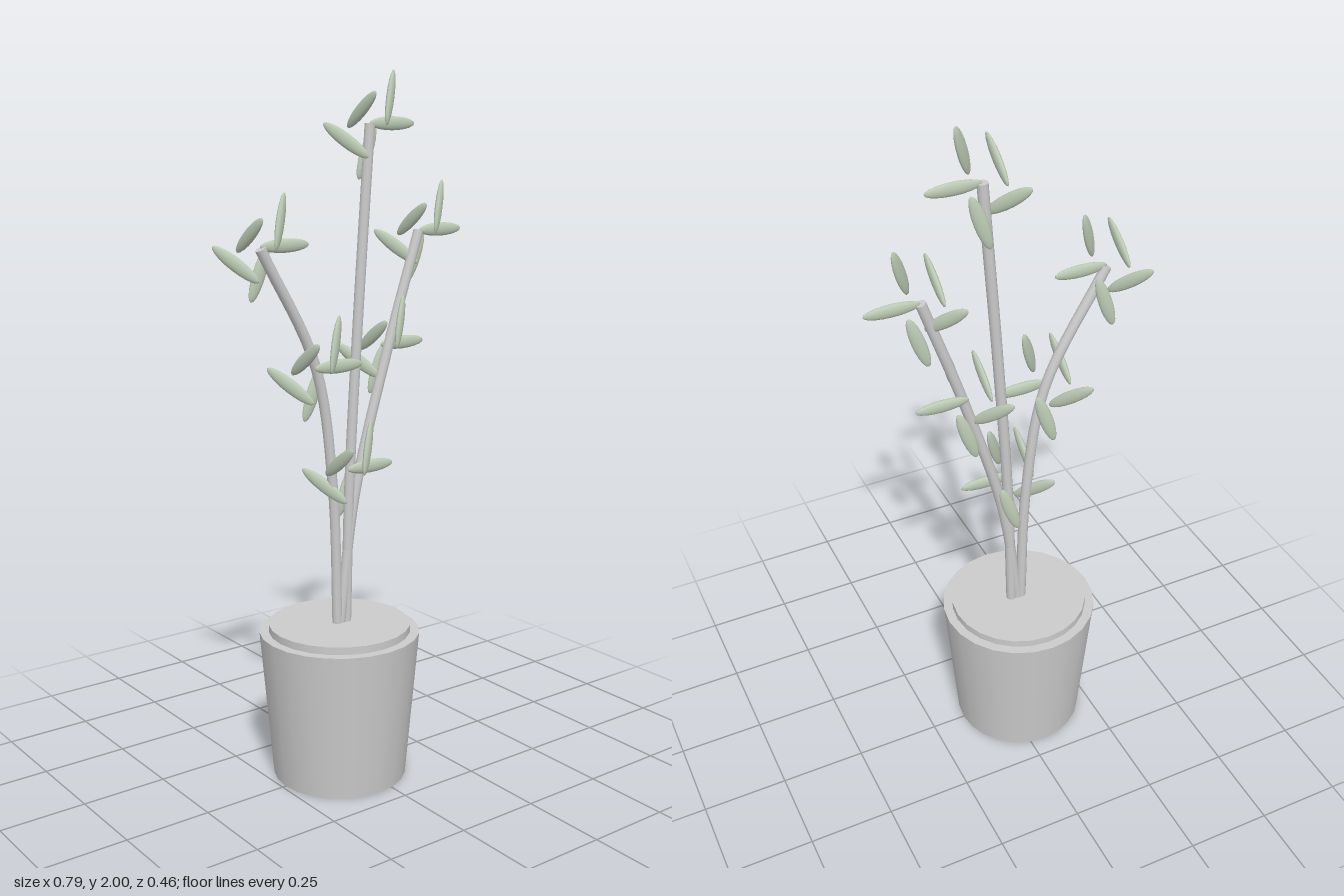
import * as THREE from 'three';

const grey = new THREE.MeshStandardMaterial({ color: 0xcccccc });
const green = new THREE.MeshStandardMaterial({ color: 0xbccbb4 });
const POT_X = -0.046;
const STEM_R = 0.015;

function add(parent, name, geometry, material, x = 0, y = 0, z = 0) {
  const mesh = new THREE.Mesh(geometry, material);
  mesh.name = name;
  mesh.position.set(x, y, z);
  parent.add(mesh);
  return mesh;
}

// Stem: a smooth tube through points in the z = 0 plane, with a flat cap on top
function addStem(parent, name, points) {
  const stem = new THREE.Group();
  stem.name = name;
  const curve = new THREE.CatmullRomCurve3(points.map(([x, y]) => new THREE.Vector3(x, y, 0)));
  add(stem, 'stemTube', new THREE.TubeGeometry(curve, 24, STEM_R, 10), grey);
  const cap = add(stem, 'stemCap', new THREE.CircleGeometry(STEM_R, 10), grey);
  cap.position.copy(curve.getPoint(1));
  cap.quaternion.setFromUnitVectors(new THREE.Vector3(0, 0, 1), curve.getTangent(1));
  parent.add(stem);
}

// Leaf sprig: centre offset and long axis of each leaf around a node
const SPRIG = [
  { at: [0.077, 0, 0], axis: [1, 0, 0] },
  { at: [0.03, 0.068, 0.05], axis: [0.045, 0.14, -0.028] },
  { at: [-0.057, 0.035, 0.037], axis: [0, 0.085, 0.118] },
  { at: [-0.055, -0.045, -0.035], axis: [0.075, -0.085, 0.09] },
  { at: [0.03, -0.078, -0.054], axis: [0.045, 0.14, 0.01] },
];
const leafGeometry = new THREE.SphereGeometry(1, 14, 10).rotateZ(-Math.PI / 2);

function addSprig(parent, name, [x, y, z], size) {
  const sprig = new THREE.Group();
  sprig.name = name;
  sprig.position.set(x, y, z);
  sprig.scale.setScalar(size);
  for (const { at, axis } of SPRIG) {
    const leaf = add(sprig, 'leaf', leafGeometry, green, ...at);
    // thin side lies level, blade stands on edge
    const along = new THREE.Vector3(...axis).normalize();
    const thin = new THREE.Vector3().crossVectors(along, new THREE.Vector3(0, 1, 0)).normalize();
    const wide = new THREE.Vector3().crossVectors(thin, along);
    leaf.quaternion.setFromRotationMatrix(new THREE.Matrix4().makeBasis(along, wide, thin));
    leaf.scale.set(0.078, 0.019, 0.0095);
  }
  parent.add(sprig);
}

export function createModel() {
  const plant = new THREE.Group();
  plant.name = 'pottedPlant';

  // Tapered pot with a raised disc of soil
  add(plant, 'pot', new THREE.CylinderGeometry(0.231, 0.193, 0.435, 24), grey, POT_X, 0.2175, 0);
  add(plant, 'soil', new THREE.CylinderGeometry(0.204, 0.204, 0.04, 24), grey, POT_X, 0.437, 0);

  // Three stems fanning out in one plane
  addStem(plant, 'rightStem', [[-0.053, 0.44], [-0.068, 0.86], [-0.125, 1.21], [-0.3, 1.54]]);
  addStem(plant, 'middleStem', [[-0.022, 0.44], [-0.01, 0.86], [0.02, 1.33], [0.06, 1.86]]);
  addStem(plant, 'leftStem', [[-0.045, 0.44], [0.01, 0.83], [0.125, 1.235], [0.235, 1.565]]);

  // Sprigs at the stem tips and part way up
  addSprig(plant, 'rightTipSprig', [-0.3, 1.545, 0], 1);
  addSprig(plant, 'middleTipSprig', [0.06, 1.86, 0], 1);
  addSprig(plant, 'leftTipSprig', [0.236, 1.565, 0], 1);
  addSprig(plant, 'rightMidSprig', [-0.138, 1.208, 0.016], 1.04);
  addSprig(plant, 'leftMidSprig', [0.115, 1.248, -0.018], 1);
  addSprig(plant, 'lowerSprig', [-0.033, 0.912, 0.025], 1.02);

  return plant;
}
